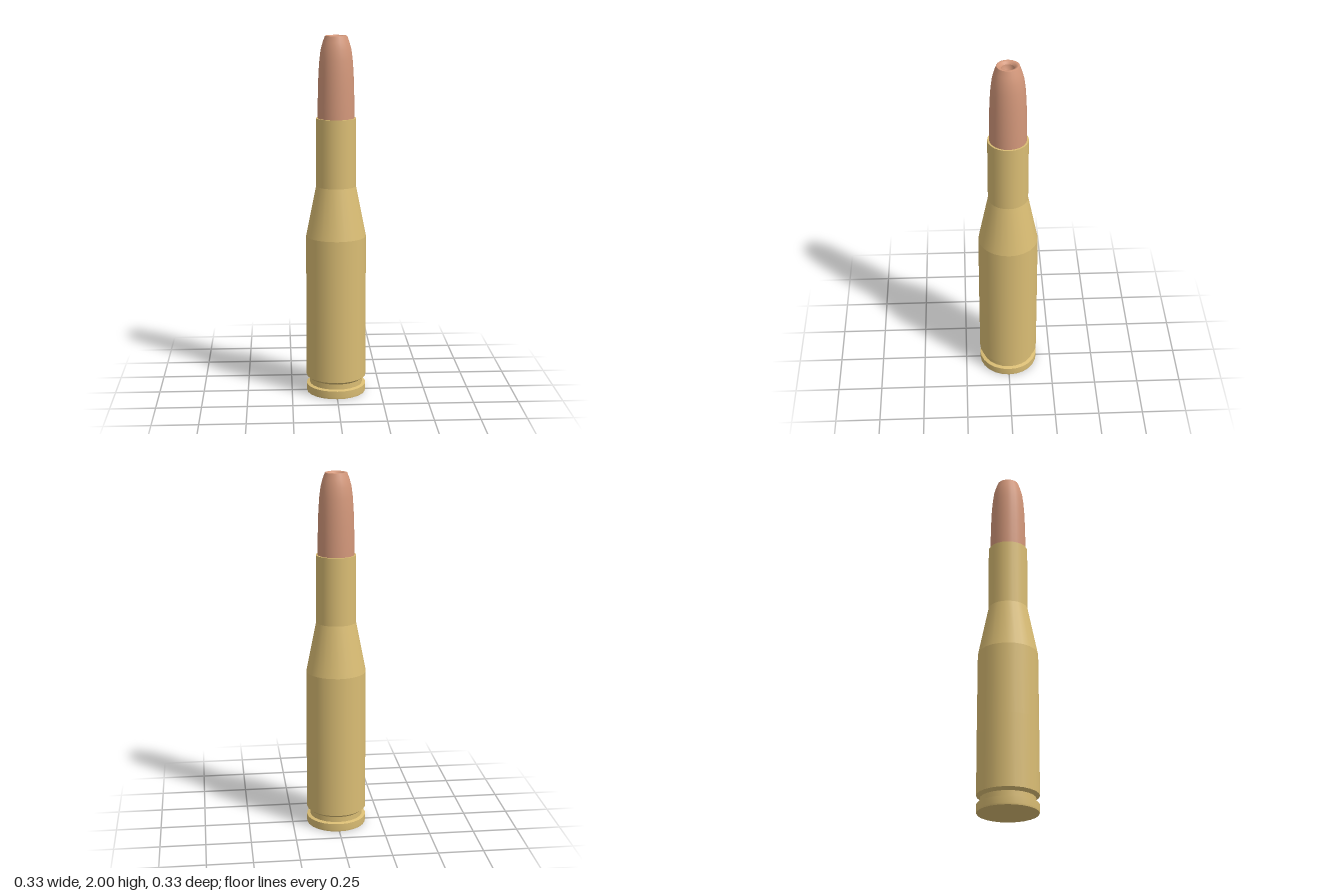
import * as THREE from 'three';

const SIDES = 24;

export function createModel() {
  const model = new THREE.Group();
  const brass = new THREE.MeshStandardMaterial({ name: 'brass', color: 0xdabd74 });
  const copper = new THREE.MeshStandardMaterial({ name: 'copper', color: 0xd4987b });

  // Turned section: [radius, height] pairs; outer walls run upward, caps follow on
  const turn = (name, material, profile) => {
    const points = profile.map(([r, y]) => new THREE.Vector2(r, y));
    const mesh = new THREE.Mesh(new THREE.LatheGeometry(points, SIDES), material);
    mesh.name = name;
    model.add(mesh);
  };

  // Base: flat underside, rim and extraction groove
  turn('baseUnderside', brass, [[0, 0], [0.165, 0]]);
  turn('rim', brass, [[0.165, 0], [0.167, 0.01], [0.167, 0.045]]);
  turn('rimTop', brass, [[0.167, 0.045], [0.148, 0.05]]);
  turn('groove', brass, [[0.148, 0.05], [0.148, 0.08]]);
  turn('grooveBevel', brass, [[0.148, 0.08], [0.167, 0.095]]);

  // Body, sloping shoulder and neck
  turn('body', brass, [[0.167, 0.095], [0.167, 0.5], [0.166, 0.9]]);
  turn('shoulder', brass, [[0.166, 0.9], [0.11, 1.18]]);
  turn('neck', brass, [[0.11, 1.18], [0.11, 1.555]]);
  turn('mouth', brass, [[0.11, 1.555], [0.098, 1.555]]);

  // Rounded tip with a shallow hollow
  turn('tip', copper, [
    [0.1, 1.55], [0.1, 1.62], [0.098, 1.72], [0.095, 1.8], [0.09, 1.87],
    [0.083, 1.925], [0.072, 1.965], [0.06, 1.998],
  ]);
  turn('tipEdge', copper, [[0.06, 1.998], [0.053, 2], [0.042, 1.996], [0.035, 1.985]]);
  turn('tipHollow', copper, [[0.035, 1.985], [0.032, 1.96], [0.02, 1.945], [0, 1.94]]);

  return model;
}
